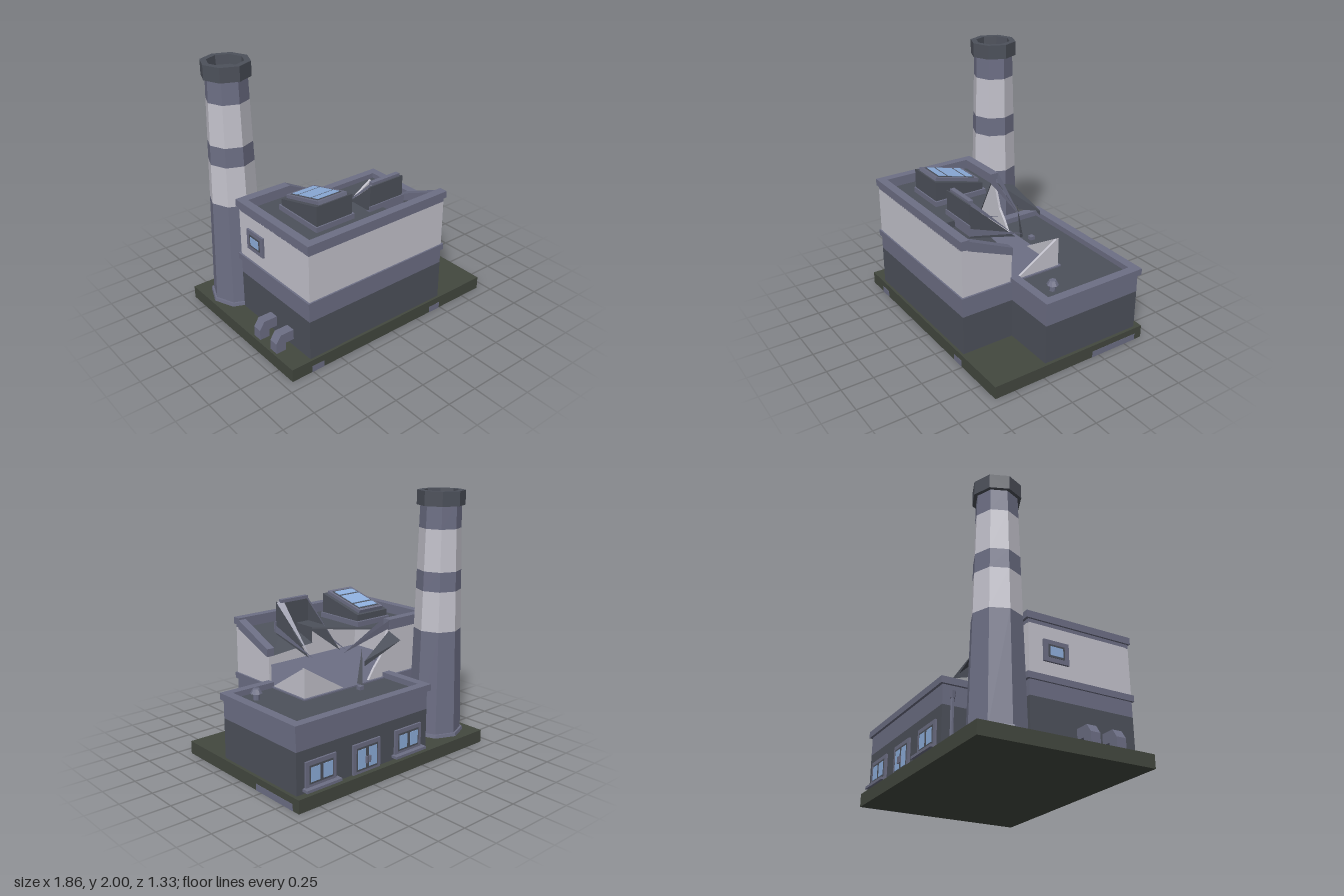
import * as THREE from 'three';

const mat = (name, color) => {
  const m = new THREE.MeshStandardMaterial({ color, side: THREE.DoubleSide });
  m.name = name;
  return m;
};

export function createModel() {
  const root = new THREE.Group();
  const green = mat('dark green ground', 0x43483f);
  const dark = mat('charcoal', 0x4d515b);
  const slate = mat('slate', 0x6d6f85);
  const light = mat('pale grey wall', 0xc4c3cd);
  const blue = mat('blue glass', 0x8fb0de);

  const add = (name, geo, material, parent = root) => {
    const g = geo.index ? geo.toNonIndexed() : geo;
    g.computeVertexNormals();
    const mesh = new THREE.Mesh(g, material);
    mesh.name = name;
    parent.add(mesh);
    return mesh;
  };
  // box from its minimum and maximum on each axis
  const box = (name, m, x0, x1, y0, y1, z0, z1, parent) => add(name,
    new THREE.BoxGeometry(x1 - x0, y1 - y0, z1 - z0)
      .translate((x0 + x1) / 2, (y0 + y1) / 2, (z0 + z1) / 2), m, parent);
  const extrude = (pts, depth) => new THREE.ExtrudeGeometry(
    new THREE.Shape(pts.map(p => new THREE.Vector2(...p))), { depth, bevelEnabled: false });
  // outline in x,y pushed along z
  const slabXY = (name, m, pts, z0, z1, parent) =>
    add(name, extrude(pts, z1 - z0).translate(0, 0, z0), m, parent);
  // outline in z,y pushed along x
  const slabZY = (name, m, pts, x0, x1, parent) =>
    add(name, extrude(pts, x1 - x0).rotateY(-Math.PI / 2).translate(x1, 0, 0), m, parent);
  const faces = (name, m, ...pts) => {
    const g = new THREE.BufferGeometry();
    g.setAttribute('position', new THREE.Float32BufferAttribute(pts.flat(), 3));
    return add(name, g, m);
  };
  const drum = (name, m, r0, r1, y0, y1, x, z, sides = 8, open = false) => add(name,
    new THREE.CylinderGeometry(r1, r0, y1 - y0, sides, 1, open).translate(x, (y0 + y1) / 2, z), m);

  // ground slab with small plates along its foot
  box('ground', green, -0.93, 0.93, 0, 0.1, -0.665, 0.665);
  for (const x of [-0.76, 0.385]) box('groundPlate', slate, x, x + 0.105, 0, 0.05, 0.662, 0.667);
  box('groundPlate', slate, 0.927, 0.932, 0, 0.05, -0.6, -0.19);

  // low wing
  box('wingLowerWall', dark, -0.34, 0.905, 0.1, 0.41, -0.61, 0.225);
  box('wingUpperWall', slate, -0.34, 0.905, 0.41, 0.555, -0.61, 0.225);
  box('wingRoof', dark, -0.3, 0.87, 0.555, 0.562, -0.57, 0.19);
  box('wingParapet', slate, -0.36, 0.925, 0.555, 0.605, -0.63, -0.56);
  box('wingParapet', slate, 0.855, 0.925, 0.555, 0.605, -0.56, 0.24);
  box('wingParapet', slate, 0.49, 0.855, 0.555, 0.605, 0.175, 0.24);
  box('wingParapet', slate, -0.36, -0.29, 0.555, 0.605, -0.56, -0.19);
  drum('roofVentStem', slate, 0.025, 0.025, 0.56, 0.61, 0.74, 0.05);
  drum('roofVentCap', slate, 0.045, 0.025, 0.61, 0.645, 0.74, 0.05);

  // tall block: base, floor ledge
  box('blockLowerWall', dark, -0.76, 0.49, 0.1, 0.41, -0.19, 0.645);
  box('blockUpperBase', slate, -0.76, 0.49, 0.41, 0.53, -0.19, 0.645);
  box('floorLedge', slate, -0.775, 0.505, 0.525, 0.572, -0.21, 0.657);

  // pale walls, broken open at the back right corner
  box('frontWall', light, -0.76, 0.49, 0.57, 0.94, 0.625, 0.645);
  box('leftSideWall', light, -0.76, -0.74, 0.57, 0.94, -0.17, 0.625);
  slabZY('brokenSideWall', light, [[0.625, 0.57], [0.625, 0.94], [0.23, 0.79], [0.23, 0.57]], 0.47, 0.49);
  slabZY('sideWallShard', light, [[0.18, 0.572], [-0.17, 0.572], [-0.17, 0.79]], 0.47, 0.49);
  slabXY('brokenBackWall', light, [[-0.76, 0.57], [-0.76, 0.94], [-0.34, 0.94], [-0.27, 0.74],
    [-0.2, 0.66], [-0.14, 0.572]], -0.19, -0.17);
  slabXY('backWallShard', light, [[0.12, 0.572], [0.49, 0.572], [0.49, 0.8]], -0.19, -0.17);

  // parapet of the tall block, right side sagging
  box('frontParapet', slate, -0.76, 0.49, 0.935, 0.97, 0.59, 0.645);
  box('frontParapetLip', slate, -0.775, 0.505, 0.967, 1.02, 0.59, 0.657);
  box('sideParapet', slate, -0.76, -0.71, 0.935, 0.97, -0.19, 0.59);
  box('sideParapetLip', slate, -0.775, -0.71, 0.967, 1.02, -0.21, 0.59);
  box('backParapet', slate, -0.71, -0.34, 0.935, 0.97, -0.19, -0.14);
  box('backParapetLip', slate, -0.71, -0.34, 0.967, 1.02, -0.21, -0.14);
  slabZY('saggingParapet', slate, [[0.6, 0.935], [0.6, 1.01], [0.23, 0.85], [0.23, 0.79]], 0.44, 0.505);

  // roof: flat part with a torn diagonal edge, and a flap bent downwards
  const flat = [[-0.74, -0.17], [-0.34, -0.17], [-0.34, -0.14], [0.07, 0.23], [0.07, 0.6], [-0.74, 0.6]];
  add('flatRoof', extrude(flat, 0.015).rotateX(Math.PI / 2).translate(0, 0.945, 0), dark);
  faces('bentRoof', dark,
    [0.07, 0.945, 0.6], [0.45, 0.945, 0.6], [0.45, 0.79, 0.23],
    [0.07, 0.945, 0.6], [0.45, 0.79, 0.23], [0.07, 0.82, 0.23],
    [0.07, 0.945, 0.6], [0.07, 0.82, 0.23], [0.07, 0.945, 0.23]);

  // whole skylight with sloping glazed top
  box('skylightCurb', slate, -0.54, -0.2, 0.94, 0.985, 0, 0.445);
  slabZY('skylightBody', dark, [[0.02, 0.98], [0.435, 0.98], [0.435, 1.14], [0.02, 1.035]], -0.53, -0.215);
  const top = new THREE.Group();
  top.name = 'skylightTop';
  top.position.set(-0.3725, 1.1, 0.22);
  top.rotation.x = -0.25;
  root.add(top);
  box('skylightFrame', slate, -0.125, 0.125, -0.02, 0.012, -0.19, 0.2, top);
  box('skylightRecess', dark, -0.105, 0.105, 0.012, 0.015, -0.16, 0.17, top);
  for (const [z0, z1] of [[-0.15, -0.09], [-0.07, 0.07], [0.09, 0.155]])
    box('skylightPane', blue, -0.095, 0.095, 0.015, 0.019, z0, z1, top);

  // broken skylight: front wall, torn frame and side spikes
  box('brokenSkylightFront', dark, -0.05, 0.26, 0.9, 1.14, 0.425, 0.437);
  box('brokenSkylightCurb', slate, -0.06, 0.275, 0.9, 0.985, 0.437, 0.445);
  box('brokenSkylightRim', slate, -0.02, 0.24, 1.135, 1.16, 0.39, 0.425);
  for (const [x, s] of [[-0.05, 1], [0.26, -1]]) {
    faces('skylightSpike', dark, [x, 1.14, 0.435], [x, 0.88, 0.435], [x, 0.78, 0.04]);
    faces('skylightFrameSpike', slate, [x, 1.14, 0.435], [x + s * 0.045, 1.15, 0.4], [x + s * 0.01, 0.8, 0.05]);
    faces('skylightCurbSpike', slate, [x - s * 0.01, 0.96, 0.44], [x - s * 0.01, 0.9, 0.44], [x - s * 0.01, 0.79, -0.03]);
  }

  // roof fragments hanging over the wing
  faces('hangingShard', dark,
    [-0.34, 0.93, -0.2], [-0.32, 0.89, -0.345], [0.05, 0.8, -0.345],
    [-0.34, 0.93, -0.2], [0.05, 0.8, -0.345], [-0.13, 0.76, -0.27],
    [-0.32, 0.89, -0.345], [0.05, 0.76, -0.345], [0.05, 0.8, -0.345]);
  faces('parapetSpike', slate,
    [-0.34, 1.02, -0.21], [-0.34, 0.95, -0.2], [0.07, 0.82, -0.14],
    [-0.34, 1.02, -0.14], [-0.34, 0.94, -0.14], [0.07, 0.82, -0.14]);
  faces('fallenSpike', dark, [-0.06, 0.86, -0.2], [-0.03, 0.57, -0.24], [-0.01, 0.58, -0.2]);
  box('debris', slate, 0.01, 0.05, 0.56, 0.59, -0.3, -0.26);

  // chimney bands, cap and recess
  const cx = -0.68, cz = -0.39;
  const radius = y => 0.205 - (y - 0.1) * 0.028;
  drum('chimneyFoot', slate, 0.225, 0.22, 0.1, 0.125, cx, cz);
  [[0.1, 0.94, slate], [0.94, 1.25, light], [1.25, 1.4, slate], [1.4, 1.72, light], [1.72, 1.9, slate]]
    .forEach(([a, b, m]) => drum('chimneyBand', m, radius(a), radius(b), a, b, cx, cz));
  const rim = [[0.15, 1.89], [0.182, 1.89], [0.182, 2], [0.135, 2], [0.13, 1.93], [0, 1.93]];
  add('chimneyCap', new THREE.LatheGeometry(rim.map(p => new THREE.Vector2(...p)), 8)
    .translate(cx, 0, cz), dark);

  // back windows with sills, and a glazed double door
  const opening = (name, x, w, y0, y1) => {
    box(name + 'Frame', slate, x - w / 2, x + w / 2, y0, y1, -0.625, -0.61);
    box(name + 'Recess', dark, x - w / 2 + 0.03, x + w / 2 - 0.03, y0 + 0.02, y1 - 0.03, -0.628, -0.624);
    for (const s of [-1, 1]) {
      const c = x + s * (w / 4 - 0.012), h = w / 4 - 0.028;
      box(name + 'Glass', blue, c - h, c + h, y0 + 0.035, y1 - 0.045, -0.631, -0.627);
    }
  };
  for (const x of [0.7, -0.135]) {
    opening('window', x, 0.27, 0.14, 0.325);
    box('windowSill', slate, x - 0.155, x + 0.155, 0.12, 0.14, -0.662, -0.61);
  }
  opening('door', 0.28, 0.26, 0.1, 0.325);
  for (const x of [0.265, 0.295]) box('doorHandle', slate, x - 0.006, x + 0.006, 0.17, 0.22, -0.645, -0.627);

  // side window, framed on both faces of the wall
  for (const [x, s] of [[-0.75, -1], [-0.75, 1]]) {
    const plate = (name, m, a, b, hw, hh) =>
      box(name, m, x + Math.min(s * a, s * b), x + Math.max(s * a, s * b), 0.755 - hh, 0.755 + hh, 0.02 - hw, 0.02 + hw);
    plate('sideWindowFrame', slate, 0, 0.026, 0.1, 0.08);
    plate('sideWindowRecess', dark, 0.024, 0.028, 0.065, 0.048);
    plate('sideWindowGlass', blue, 0.027, 0.031, 0.05, 0.033);
  }

  // bent ducts on the side and the drain pipe in the corner
  const duct = [[-0.76, 0.24], [-0.87, 0.24], [-0.91, 0.18], [-0.91, 0.1], [-0.83, 0.1], [-0.83, 0.16], [-0.76, 0.16]];
  for (const z of [0.17, 0.375]) slabXY('duct', slate, duct, z, z + 0.075);
  drum('drainPipe', slate, 0.014, 0.014, 0.1, 0.48, -0.37, -0.55, 6);
  drum('drainHead', slate, 0.018, 0.026, 0.45, 0.5, -0.37, -0.55, 6);
  drum('drainFoot', slate, 0.022, 0.02, 0.1, 0.13, -0.37, -0.55, 6);

  return root;
}
